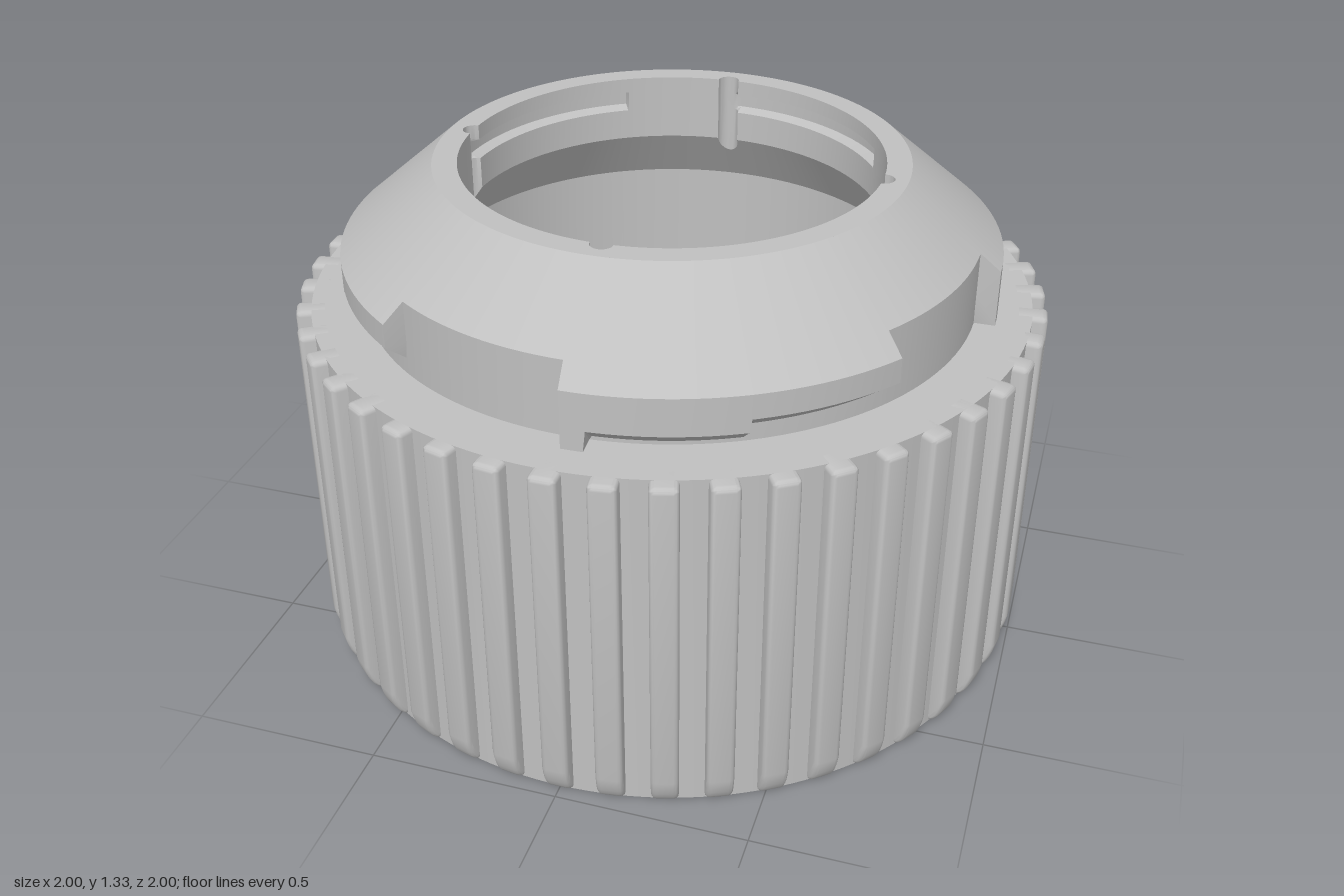
import * as THREE from 'three';
import { toCreasedNormals } from 'three/addons/utils/BufferGeometryUtils.js';

const DEG = Math.PI / 180;

// Sweeps a [radius, y] profile around the y axis; the profile may change with the angle.
function sweep(angles, profileAt) {
  const pos = [], index = [];
  const n = profileAt(angles[0]).length;
  for (const a of angles) {
    for (const [r, y] of profileAt(a)) pos.push(r * Math.sin(a * DEG), y, r * Math.cos(a * DEG));
  }
  for (let j = 0; j < angles.length - 1; j++) {
    for (let i = 0; i < n - 1; i++) {
      const p = j * n + i, q = p + n;
      index.push(p, q, q + 1, p, q + 1, p + 1);
    }
  }
  const g = new THREE.BufferGeometry();
  g.setAttribute('position', new THREE.Float32BufferAttribute(pos, 3));
  g.setIndex(index);
  return toCreasedNormals(g, 28 * DEG);
}

// Angles of one quarter repeated four times, with fine steps near the given breaks
function quarterAngles(breaks, fine) {
  const quarter = new Set();
  for (let a = 0; a < 90; a += 2.5) quarter.add(a);
  for (const b of breaks) for (const f of fine) quarter.add((b + f + 90) % 90);
  const sorted = [...quarter].sort((a, b) => a - b);
  const all = [];
  for (let k = 0; k < 4; k++) for (const a of sorted) all.push(a + 90 * k);
  all.push(360);
  return all;
}

// Collar cross-section: stop post, low flange, high flange, then open notch
function collarProfile(angle) {
  const a = ((angle % 90) + 90) % 90;
  const neck = 0.815, lip = 0.87, top = [0.62, 1.33];
  if (a < 4) return [[neck, 0.96], [neck, 0.96], [lip, 0.96], [lip, 1.115], top];
  if (a < 29) return [[neck, 0.96], [neck, 0.97], [lip, 1.015], [lip, 1.115], top];
  if (a < 55) return [[neck, 0.96], [neck, 1.005], [lip, 1.05], [lip, 1.115], top];
  return [[neck, 0.96], [neck, 1.005], [neck, 1.05], [neck, 1.162], top];
}

// Bore cross-section: upright entry grooves, each leading into a 60 degree slot
function boreProfile(angle) {
  const a = ((angle % 90) + 90) % 90;
  const d = Math.min(a, 90 - a) / 3;
  const depth = d < 1 ? 0.03 * Math.sqrt(1 - d * d) : 0;
  const r = 0.555 + depth;
  const slot = a > 30 ? 0.583 : r;
  return [
    [0.62, 1.33], [r, 1.33], [r, 1.29], [Math.max(slot, r), 1.28], [Math.max(slot, r), 1.245],
    [r, 1.235], [r, 1.15 - depth * 1.5], [0.656, 1.0], [0.662, 0.457], [0.656, 0.457], [0.656, 0],
  ];
}

export function createModel() {
  const model = new THREE.Group();
  model.name = 'adapterRing';
  const grey = new THREE.MeshStandardMaterial({ color: 0xc0c0c0 });
  grey.name = 'light grey';

  const add = (name, geometry, parent = model) => {
    const mesh = new THREE.Mesh(geometry, grey);
    mesh.name = name;
    parent.add(mesh);
    return mesh;
  };

  // Grip body: flat underside, outer wall and flat shoulder
  const bodyPoints = [[0.656, 0], [0.96, 0], [0.96, 0.96], [0.81, 0.96]];
  const body = new THREE.LatheGeometry(bodyPoints.map(([x, y]) => new THREE.Vector2(x, y)), 180);
  add('gripBody', toCreasedNormals(body, 28 * DEG));

  // Conical collar with bayonet flanges
  add('bayonetCollar', sweep(quarterAngles([0, 4, 29, 55], [-0.4, 0]), collarProfile));

  // Bore with the inner slots
  add('slottedBore', sweep(quarterAngles([0, 30], [-3, -2.8, -2.2, -1.5, -0.8, 0, 0.3, 0.8, 1.5, 2.2, 2.8, 3]), boreProfile));

  // Grip ribs: rounded side outline, extruded across the rib width
  const width = 0.07, bevel = 0.013;
  const outline = new THREE.Shape();
  outline.moveTo(0.925, 0);
  outline.lineTo(0.962, 0);
  outline.quadraticCurveTo(0.99, 0.02, 1, 0.085);
  outline.lineTo(1, 0.945);
  outline.quadraticCurveTo(1, 0.96, 0.985, 0.96);
  outline.lineTo(0.925, 0.96);
  outline.closePath();
  const rib = new THREE.ExtrudeGeometry(outline, {
    depth: width - 2 * bevel, bevelEnabled: true, bevelSize: bevel, bevelThickness: bevel,
    bevelOffset: -bevel, bevelSegments: 3, curveSegments: 5,
  });
  rib.translate(0, 0, -(width / 2 - bevel));
  rib.rotateY(-Math.PI / 2);
  const ribGeometry = toCreasedNormals(rib, 40 * DEG);
  const ribs = new THREE.Group();
  ribs.name = 'gripRibs';
  model.add(ribs);
  for (let i = 0; i < 45; i++) add('gripRib', ribGeometry, ribs).rotation.y = i * 8 * DEG;

  return model;
}
